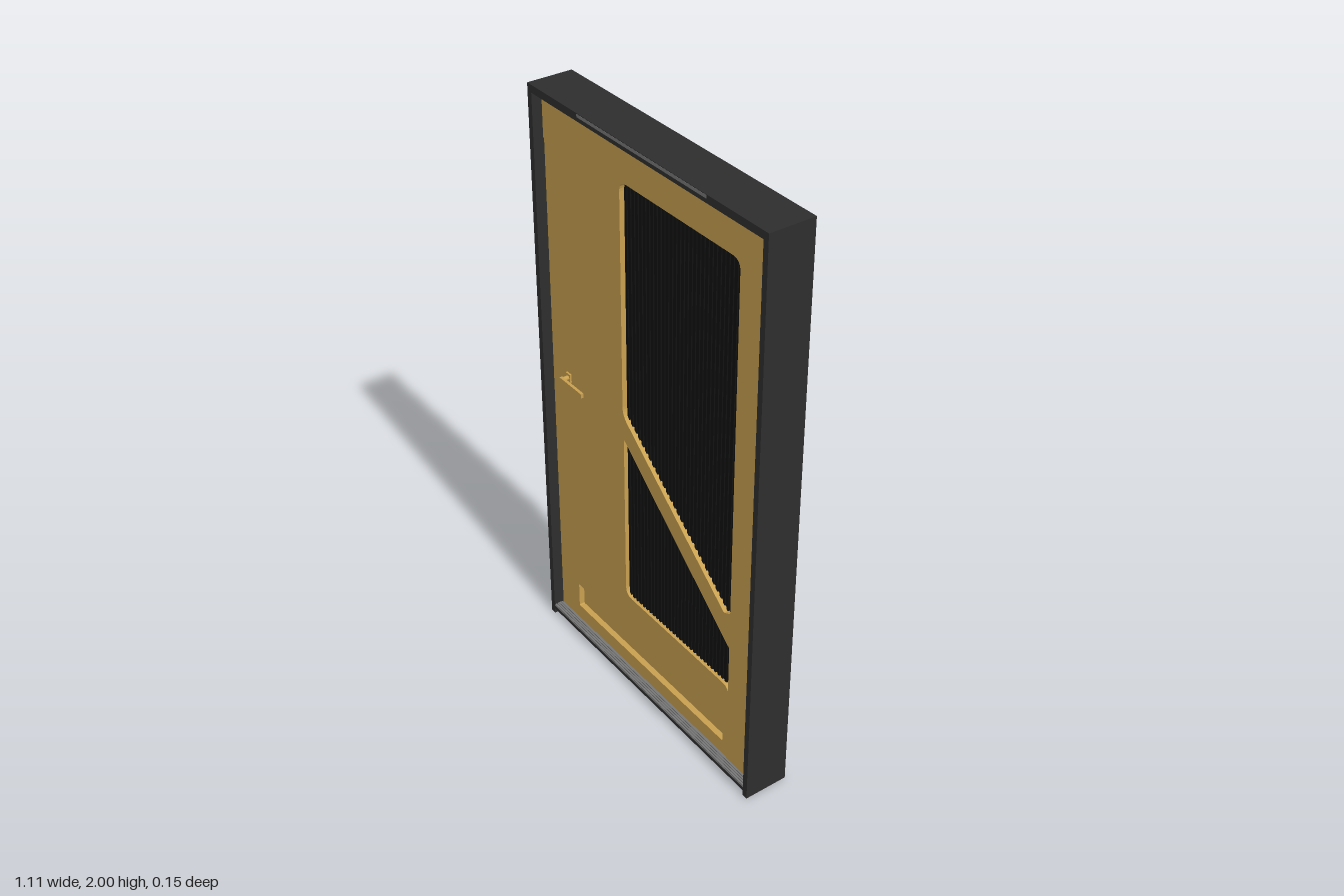
import * as THREE from 'three';

const material = (color) => new THREE.MeshStandardMaterial({ color, flatShading: true });

// Closed outline from [x, y, cornerRadius] points
function outline(points, Type = THREE.Shape) {
  const path = new Type();
  const n = points.length;
  points.forEach(([x, y, r = 0], i) => {
    const p = new THREE.Vector2(x, y);
    const toward = (q) => new THREE.Vector2(q[0], q[1]).sub(p).setLength(r).add(p);
    const a = r ? toward(points[(i + n - 1) % n]) : p;
    if (i === 0) path.moveTo(a.x, a.y);
    else path.lineTo(a.x, a.y);
    if (r) {
      const b = toward(points[(i + 1) % n]);
      path.quadraticCurveTo(x, y, b.x, b.y);
    }
  });
  path.closePath();
  return path;
}

export function createModel() {
  const door = new THREE.Group();
  door.name = 'door';
  const dark = material(0x2e2e2e);
  const gold = material(0xc8a050);
  const black = material(0x111111);
  const grey = material(0x777777);

  function add(name, geometry, mat, x = 0, y = 0, z = 0, parent = door) {
    const mesh = new THREE.Mesh(geometry, mat);
    mesh.name = name;
    mesh.position.set(x, y, z);
    parent.add(mesh);
    return mesh;
  }
  const box = (name, w, h, d, mat, x, y, z, parent) =>
    add(name, new THREE.BoxGeometry(w, h, d), mat, x, y, z, parent);
  const slab = (name, shape, z0, z1) =>
    add(name, new THREE.ExtrudeGeometry(shape, { depth: z1 - z0, bevelEnabled: false, curveSegments: 6 }),
      gold, 0, 0, z0);

  // Outer frame
  const D = 0.154;
  for (const s of [-1, 1]) box('jamb', 0.02, 2, D, dark, s * 0.545, 1, 0);
  box('header', 1.07, 0.025, D, dark, 0, 1.9875, 0);
  box('headerStrip', 0.6, 0.01, 0.002, grey, 0, 1.993, 0.0765);

  // Threshold with ribbed top
  box('thresholdBase', 1.07, 0.012, D, dark, 0, 0.026, 0);
  for (const s of [-1, 1]) {
    for (let i = 0; i < 4; i++) {
      box('thresholdRib', 1.07, 0.008, 0.006, grey, 0, 0.035, s * (0.048 + i * 0.008));
    }
    box('thresholdTread', 1.07, 0.004, 0.036, grey, 0, 0.033, s * 0.058);
  }

  // Leaf core and ribbed dark panes
  box('leafCore', 1.07, 1.943, 0.04, gold, 0, 1.0035, 0);
  box('pane', 0.58, 1.54, 0.052, black, 0.13, 1.09, 0);
  const ribs = 32;
  for (let i = 0; i < ribs; i++) {
    box('paneRib', 0.009, 1.54, 0.06, black, 0.13 + ((i + 0.5) / ribs - 0.5) * 0.58, 1.09, 0);
  }

  // Upper panel: border, diagonal band and main window opening
  const upper = outline([
    [-0.535, 1.825], [-0.37, 1.825], [-0.22, 1.66], [-0.22, 1.03, 0.02], [0.405, 0.5],
    [0.405, 0.035], [0.535, 0.035], [0.535, 1.975], [-0.535, 1.975],
  ]);
  upper.holes.push(outline([
    [-0.145, 1.845, 0.035], [-0.145, 1.05, 0.03], [0.375, 0.622, 0.008],
    [0.405, 0.637], [0.405, 1.845, 0.035],
  ], THREE.Path));

  // Lower panel: lock side, notched for the lower window
  const lowerPoints = [
    [-0.535, 1.825], [-0.37, 1.825], [-0.22, 1.66], [-0.22, 1.03, 0.02], [-0.145, 0.966],
    [-0.145, 0.335, 0.035], [0.405, 0.335, 0.035], [0.405, 0.035], [-0.535, 0.035],
  ];
  const lowerFront = outline(lowerPoints);
  lowerFront.holes.push(outline([
    [-0.43, 0.09, 0.005], [0.38, 0.09, 0.005], [0.38, 0.185, 0.005], [-0.43, 0.185, 0.005],
  ], THREE.Path));

  slab('upperFrontPanel', upper, 0.02, 0.043);
  slab('lowerFrontPanel', lowerFront, 0.02, 0.04);
  slab('upperBackPanel', upper, -0.05, -0.02);
  slab('lowerBackPanel', outline(lowerPoints), -0.04, -0.02);

  // Lever handles on both faces
  for (const s of [-1, 1]) {
    const handle = new THREE.Group();
    handle.name = s > 0 ? 'frontHandle' : 'backHandle';
    box('handlePlate', 0.024, 0.03, 0.006, gold, -0.443, 1.03, s * 0.043, handle);
    const stem = add('handleStem', new THREE.CylinderGeometry(0.008, 0.008, 0.028, 16),
      gold, -0.443, 1.03, s * 0.054, handle);
    stem.rotation.x = Math.PI / 2;
    box('handleLever', 0.12, 0.016, 0.01, gold, -0.39, 1.03, s * 0.068, handle);
    door.add(handle);
  }

  return door;
}
